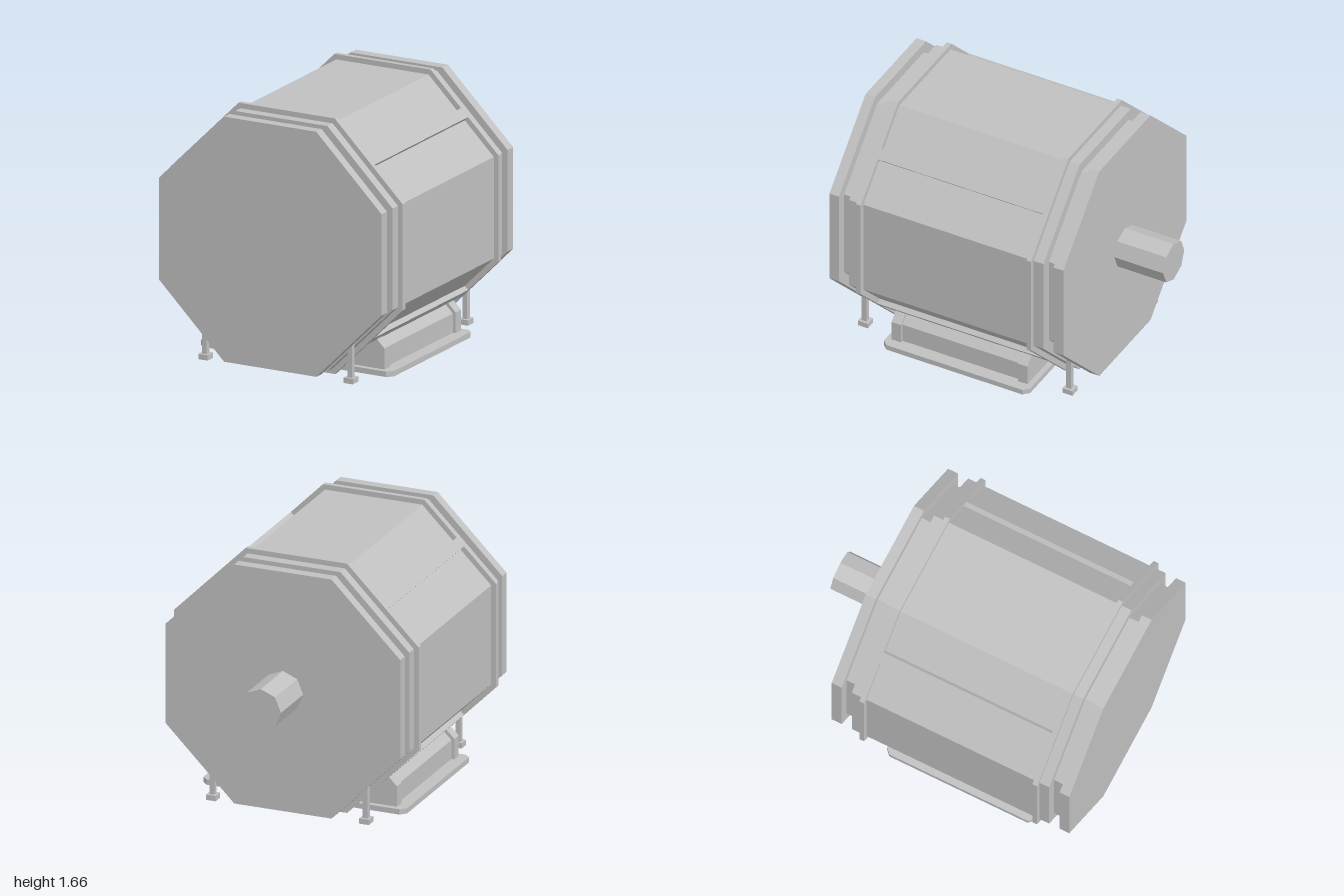
import * as THREE from 'three';

const AXIS_Y = 0.828; // height of the machine's axis
const MID_Z = 0.175; // centre of the housing and base along z

export function createModel() {
  const model = new THREE.Group();
  model.name = 'motor';
  const steel = new THREE.MeshStandardMaterial({ color: 0xc0c0c0 });
  steel.name = 'grey steel';

  // Adds a faceted mesh with one normal per face
  function add(name, geometry, x = 0, y = 0, z = 0) {
    const flat = geometry.index ? geometry.toNonIndexed() : geometry;
    flat.computeVertexNormals();
    const mesh = new THREE.Mesh(flat, steel);
    mesh.name = name;
    mesh.position.set(x, y, z);
    model.add(mesh);
    return mesh;
  }

  const box = (name, w, h, d, x, y, z) => add(name, new THREE.BoxGeometry(w, h, d), x, y, z);

  // Eight-sided prism along z
  function prism(name, radius, z0, z1, turn) {
    const g = new THREE.CylinderGeometry(radius, radius, z1 - z0, 8, 1, false, turn);
    add(name, g.rotateX(Math.PI / 2), 0, AXIS_Y, (z0 + z1) / 2);
  }
  // Octagon given by the distance from its centre to a flat side
  const octagon = (name, apothem, z0, z1) =>
    prism(name, apothem / Math.cos(Math.PI / 8), z0, z1, Math.PI / 8);

  // Polygon extruded along z from z0 to z1
  function slab(name, points, z0, z1) {
    const shape = new THREE.Shape(points.map(([x, y]) => new THREE.Vector2(x, y)));
    const g = new THREE.ExtrudeGeometry(shape, { depth: z1 - z0, bevelEnabled: false });
    return add(name, g, 0, 0, z0);
  }

  // Housing with end caps, recessed necks and raised rings
  octagon('housing', 0.794, -0.515, 0.86);
  octagon('frontNeck', 0.727, 0.86, 0.933);
  octagon('frontCap', 0.794, 0.933, 1);
  octagon('rearNeck', 0.727, -0.585, -0.515);
  octagon('rearCap', 0.794, -0.655, -0.585);
  octagon('frontRing', 0.828, 0.76, 0.793);
  octagon('rearRing', 0.828, -0.445, -0.412);

  // Drive shaft
  prism('shaft', 0.137, -1, -0.655, 0);

  // Raised bars along the four diagonal sides
  for (let i = 0; i < 4; i++) {
    const a = Math.PI / 4 + (i * Math.PI) / 2;
    const r = 0.803;
    const bar = box('diagonalBar', 0.05, 0.072, 1.172,
      r * Math.cos(a), AXIS_Y + r * Math.sin(a), 0.174);
    bar.rotation.z = a;
  }

  // Base plate with clipped corners, drawn in plan
  const w = 0.688, d = 0.517, c = 0.035;
  const plate = slab('basePlate', [
    [-w + c, -d], [w - c, -d], [w, -d + c], [w, d - c],
    [w - c, d], [-w + c, d], [-w, d - c], [-w, -d + c],
  ], 0, 0.035);
  plate.rotation.x = -Math.PI / 2;
  plate.position.set(0, 0, MID_Z);

  for (const s of [1, -1]) {
    // Cradle cross-section filling the gap below a diagonal side
    const profile = (x, y, t) => {
      const points = [[0.33, 0.035], [x, 0.035], [x, y], [x - t, y + t], [0.53, y + t]];
      return s > 0 ? points : points.map(([px, py]) => [-px, py]).reverse();
    };
    slab('cradleWall', profile(0.6, 0.16, 0.06), MID_Z - 0.42, MID_Z + 0.42);
    for (const e of [1, -1]) {
      const z = MID_Z + e * 0.447;
      slab('cradleGusset', profile(0.62, 0.17, 0.056), z - 0.034, z + 0.034);
    }

    // Support legs under both necks
    for (const z of [0.897, -0.55]) {
      box('footPad', 0.066, 0.035, 0.07, s * 0.518, 0.0175, z);
      box('leg', 0.033, 0.28, 0.034, s * 0.518, 0.175, z);
      box('legMount', 0.066, 0.04, 0.07, s * 0.518, 0.335, z);
    }
  }
  return model;
}
